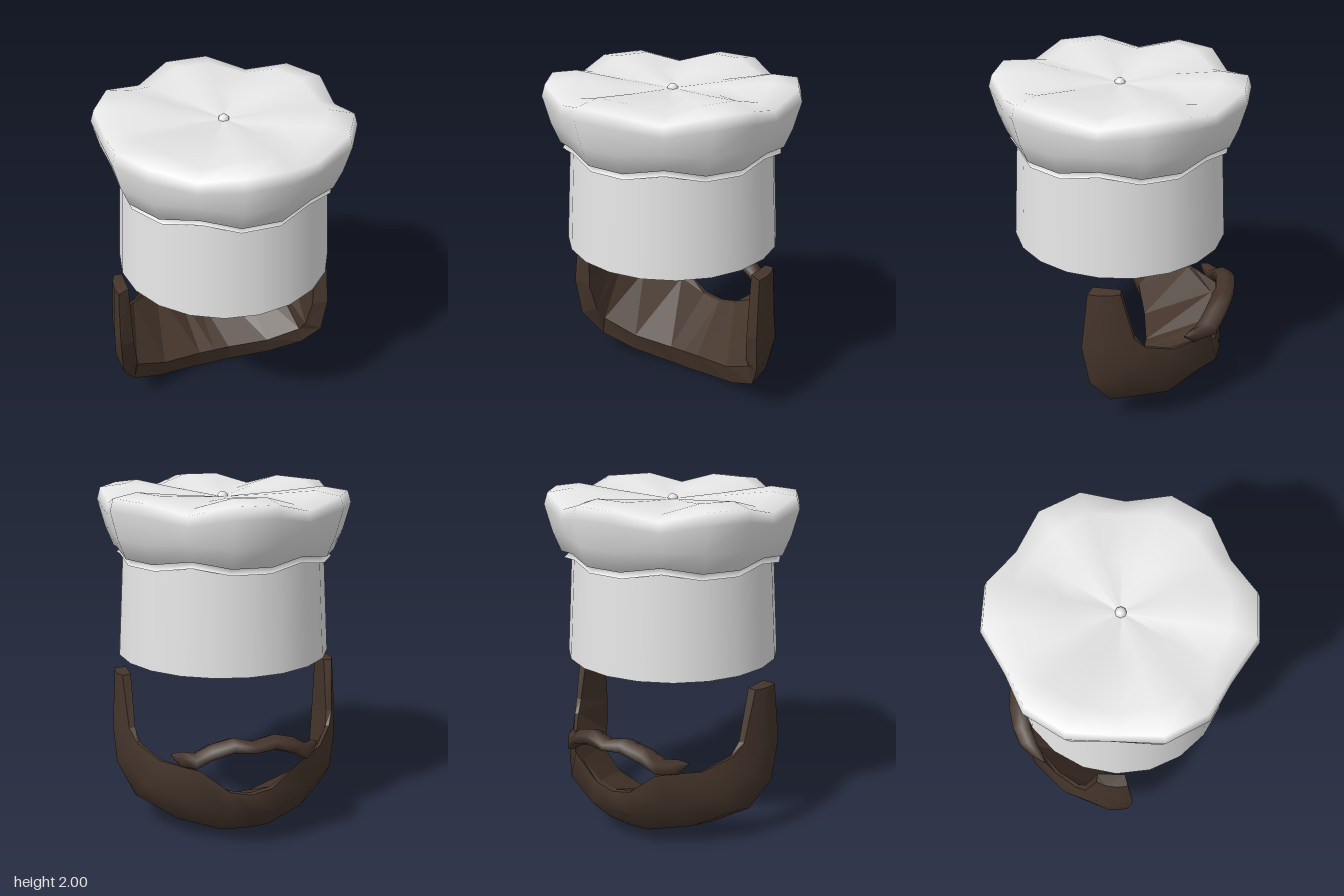
import * as THREE from 'three';

const hatWhite = new THREE.MeshStandardMaterial({ color: 0xe6e6e6, side: THREE.DoubleSide });
hatWhite.name = 'hat white';
const hairBrown = new THREE.MeshStandardMaterial({ color: 0x45352b, side: THREE.DoubleSide });
hairBrown.name = 'hair brown';

// Skin a surface over rows of [x, y, z] points
function skin(rows, closed = false, flat = false) {
  const n = rows[0].length;
  const index = [];
  for (let i = 0; i < rows.length - 1; i++) {
    for (let j = 0; j < (closed ? n : n - 1); j++) {
      const k = (j + 1) % n;
      const a = i * n + j, b = (i + 1) * n + j, c = i * n + k, d = (i + 1) * n + k;
      index.push(a, b, c, c, b, d);
    }
  }
  let g = new THREE.BufferGeometry();
  g.setAttribute('position', new THREE.Float32BufferAttribute(rows.flat(2), 3));
  g.setIndex(index);
  if (flat) g = g.toNonIndexed();
  g.computeVertexNormals();
  return g;
}

function add(parent, name, geometry, material) {
  const mesh = new THREE.Mesh(geometry, material);
  mesh.name = name;
  parent.add(mesh);
  return mesh;
}

// Extend half a run of stations (ending on the centre line) to the other side
const mirrorRows = (half) => [
  ...half,
  ...half.slice(0, -1).reverse().map((row) => row.map(([x, y, z]) => [-x, y, z])),
];

function makeHat() {
  const hat = new THREE.Group();
  hat.name = 'hat';

  // Open tapered band
  add(hat, 'hatBand', new THREE.CylinderGeometry(0.587, 0.622, 0.61, 20, 1, true), hatWhite)
    .position.y = 1.335;

  // Six-lobed puff: [lobe radius, lobe height, valley radius, valley height]
  const profile = [
    [0.63, 1.6, 0.605, 1.63],
    [0.595, 1.635, 0.585, 1.66],
    [0.645, 1.638, 0.62, 1.668],
    [0.693, 1.755, 0.645, 1.76],
    [0.735, 1.91, 0.675, 1.86],
    [0.715, 1.978, 0.66, 1.92],
    [0.57, 2.0, 0.56, 1.945],
    [0.3, 1.965, 0.3, 1.945],
    [0.02, 1.935, 0.02, 1.935],
  ];
  const rows = profile.map(([rl, yl, rv, yv]) =>
    Array.from({ length: 18 }, (_, k) => {
      const a = (k * Math.PI) / 9;
      const [r, y] = k % 3 === 0 ? [rv, yv] : [rl, yl];
      return [r * Math.cos(a), y, r * Math.sin(a)];
    }));
  add(hat, 'hatPuff', skin(rows, true), hatWhite);

  // Small button in the middle of the crown
  add(hat, 'hatButton', new THREE.SphereGeometry(0.033, 8, 6), hatWhite).position.y = 1.93;
  return hat;
}

function makeBeard() {
  const beard = new THREE.Group();
  beard.name = 'beard';

  // Sections from sideburn to chin: lower edge, two bulge points, upper edge, upper inner, lower inner
  const half = [
    [[0.655, 0.93, 0.07], [0.665, 0.932, 0.01], [0.66, 0.935, -0.06], [0.64, 0.938, -0.115], [0.59, 0.94, -0.11], [0.59, 0.94, 0.05]],
    [[0.67, 0.58, 0.105], [0.685, 0.59, 0.01], [0.67, 0.62, -0.1], [0.62, 0.64, -0.19], [0.585, 0.64, -0.19], [0.583, 0.55, 0.07]],
    [[0.655, 0.33, 0.065], [0.675, 0.38, -0.05], [0.645, 0.46, -0.17], [0.585, 0.565, -0.25], [0.565, 0.565, -0.24], [0.56, 0.37, 0.03]],
    [[0.57, 0.16, -0.04], [0.585, 0.21, -0.18], [0.56, 0.34, -0.34], [0.48, 0.5, -0.39], [0.47, 0.5, -0.37], [0.545, 0.28, -0.03]],
    [[0.375, 0.055, -0.13], [0.38, 0.12, -0.36], [0.37, 0.3, -0.54], [0.29, 0.495, -0.59], [0.28, 0.44, -0.54], [0.35, 0.18, -0.1]],
    [[0.12, 0.003, -0.2], [0.14, 0.065, -0.455], [0.14, 0.22, -0.62], [0.12, 0.355, -0.605], [0.12, 0.355, -0.57], [0.1, 0.15, -0.15]],
    [[0, 0, -0.2], [0, 0.062, -0.465], [0, 0.22, -0.63], [0, 0.33, -0.61], [0, 0.33, -0.575], [0, 0.15, -0.15]],
  ];
  const rows = mirrorRows(half);
  const pick = (cols) => rows.map((row) => cols.map((c) => row[c]));
  add(beard, 'beardOuter', skin(pick([0, 1, 2, 3])), hairBrown);
  add(beard, 'beardInner', skin(pick([3, 4, 5, 0]), false, true), hairBrown);

  // Flat tops of the sideburns
  for (const [row, name] of [[rows[0], 'leftSideburnTop'], [rows[rows.length - 1], 'rightSideburnTop']]) {
    const ends = [row.slice(0, 4), [row[5], row[5], row[4], row[4]]];
    if (row === rows[0]) ends.reverse();
    add(beard, name, skin(ends, false, true), hairBrown);
  }

  // Moustache sections: x, centre y, centre z, half height, half depth
  const sections = [
    [0.43, 0.558, -0.46, 0.004, 0.01],
    [0.385, 0.545, -0.505, 0.045, 0.04],
    [0.32, 0.548, -0.565, 0.05, 0.065],
    [0.24, 0.607, -0.605, 0.05, 0.066],
    [0.12, 0.65, -0.635, 0.046, 0.066],
    [0, 0.632, -0.645, 0.035, 0.064],
  ];
  const rings = sections.map(([x, y, z, h, d]) =>
    Array.from({ length: 6 }, (_, k) => {
      const a = (k * Math.PI) / 3;
      return [x, y + h * Math.cos(a), z + d * Math.sin(a)];
    }));
  add(beard, 'moustache', skin(mirrorRows(rings), true), hairBrown);
  beard.position.x = -0.013;
  return beard;
}

export function createModel() {
  const model = new THREE.Group();
  model.name = 'hatAndBeard';
  model.add(makeHat(), makeBeard());
  return model;
}
